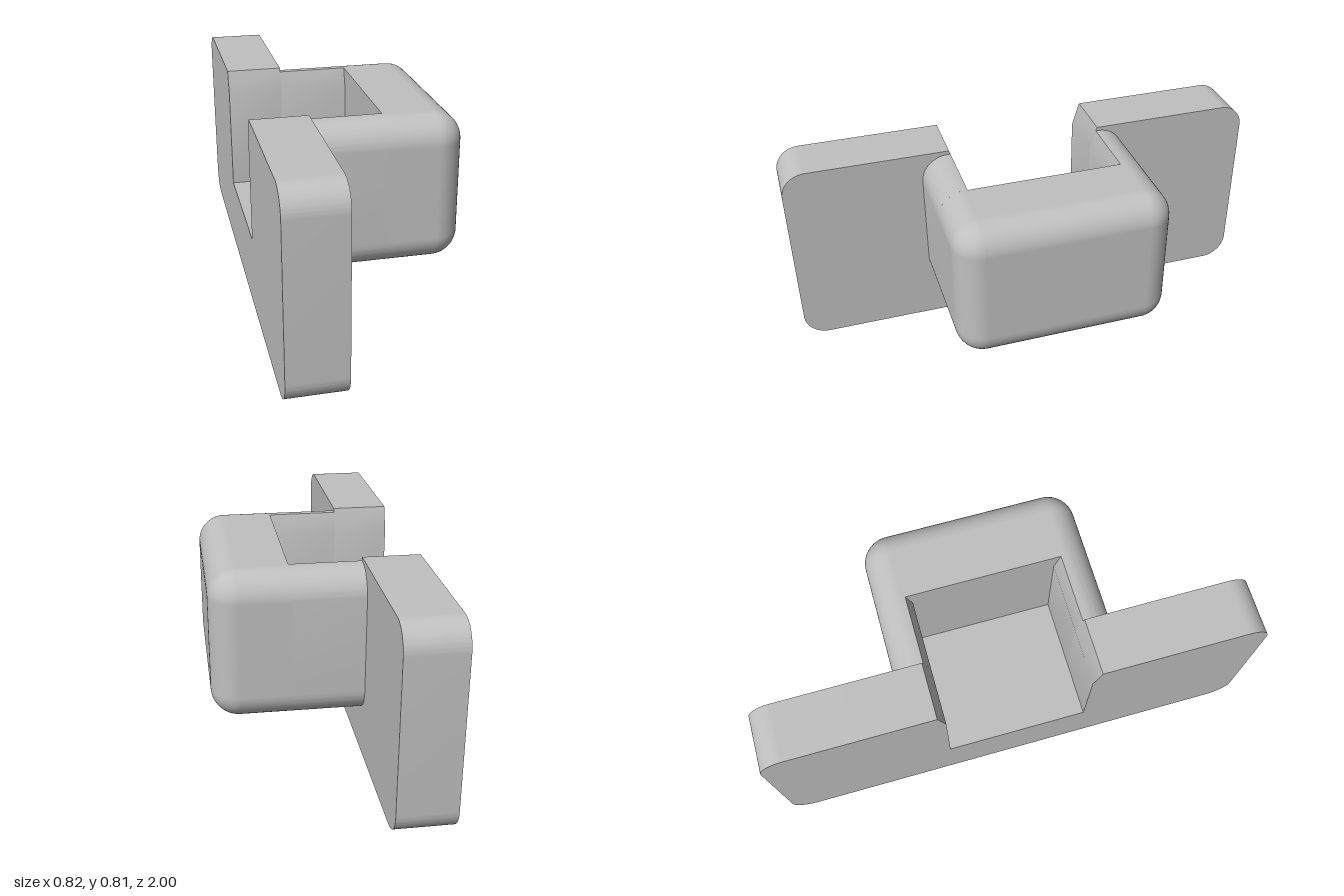
import * as THREE from 'three';
import { toCreasedNormals } from 'three/addons/utils/BufferGeometryUtils.js';

const NOTCH = { floor: 0.3, half: 0.29, flareHalf: 0.32, flareStart: 0.71 };

// Rounded rectangle with a flared notch cut into its top edge
function notchedShape(halfW, bottom, top, r, topHalf) {
  const s = new THREE.Shape();
  s.moveTo(-halfW + r, bottom);
  s.lineTo(halfW - r, bottom);
  s.absarc(halfW - r, bottom + r, r, -Math.PI / 2, 0);
  s.lineTo(halfW, top - r);
  s.absarc(halfW - r, top - r, r, 0, Math.PI / 2);
  s.lineTo(topHalf, top);
  s.lineTo(NOTCH.half, NOTCH.flareStart);
  s.lineTo(NOTCH.half, NOTCH.floor);
  s.lineTo(-NOTCH.half, NOTCH.floor);
  s.lineTo(-NOTCH.half, NOTCH.flareStart);
  s.lineTo(-topHalf, top);
  s.lineTo(-halfW + r, top);
  s.absarc(-halfW + r, top - r, r, Math.PI / 2, Math.PI);
  s.lineTo(-halfW, bottom + r);
  s.absarc(-halfW + r, bottom + r, r, Math.PI, Math.PI * 1.5);
  return s;
}

// Extrude a z-y outline along x
function extrudeX(shape, x0, x1) {
  const g = new THREE.ExtrudeGeometry(shape, { depth: x1 - x0, bevelEnabled: false, curveSegments: 12 });
  g.rotateY(Math.PI / 2);
  g.translate(x0, 0, 0);
  return toCreasedNormals(g, 0.5);
}

// Solid end of the block: rounded-rectangle rings closing in a quarter round
function roundedEnd(x0, x1, halfW, bottom, top, r) {
  const n = 12, pos = [], nor = [], idx = [];
  const corners = [[1, 1], [-1, 1], [-1, -1], [1, -1]];
  const cy = (bottom + top) / 2, hy = (top - bottom) / 2;
  const size = 4 * (n + 1);

  const addRing = (x, rad, a, flat) => {
    corners.forEach(([sz, sy], c) => {
      for (let i = 0; i <= n; i++) {
        const t = (c + i / n) * Math.PI / 2;
        const dz = Math.cos(t), dy = Math.sin(t);
        pos.push(x, cy + sy * (hy - r) + dy * rad, sz * (halfW - r) + dz * rad);
        if (flat) nor.push(flat, 0, 0);
        else nor.push(Math.sin(a), Math.cos(a) * dy, Math.cos(a) * dz);
      }
    });
  };

  addRing(x0, r, 0);
  for (let k = 0; k <= n; k++) {
    const a = k / n * Math.PI / 2;
    addRing(x1 - r + r * Math.sin(a), r * Math.cos(a), a);
  }
  for (let k = 0; k <= n; k++) {
    for (let i = 0; i < size; i++) {
      const j = (i + 1) % size;
      const a = k * size + i, b = k * size + j;
      idx.push(a, a + size, b, b, a + size, b + size);
    }
  }
  // Flat outer face and the inner wall that ends the notch
  const outer = pos.length / 3;
  addRing(x1, 0, 0, 1);
  const inner = pos.length / 3;
  addRing(x0, r, 0, -1);
  for (let i = 1; i < size - 1; i++) {
    idx.push(outer, outer + i + 1, outer + i);
    idx.push(inner, inner + i, inner + i + 1);
  }

  const g = new THREE.BufferGeometry();
  g.setAttribute('position', new THREE.Float32BufferAttribute(pos, 3));
  g.setAttribute('normal', new THREE.Float32BufferAttribute(nor, 3));
  g.setIndex(idx);
  return g;
}

export function createModel() {
  const model = new THREE.Group();
  model.name = 'notchedBracket';
  const grey = new THREE.MeshStandardMaterial({ color: 0xc0c0c0 });
  grey.name = 'grey';

  const add = (name, geometry) => {
    const mesh = new THREE.Mesh(geometry, grey);
    mesh.name = name;
    model.add(mesh);
  };

  // Long upright plate with the notch through it
  add('backPlate', extrudeX(notchedShape(1, 0, 0.807, 0.1, NOTCH.flareHalf), -0.41, -0.183));
  // Block behind the plate: notched part, then solid rounded end
  add('blockPocket', extrudeX(notchedShape(0.437, 0.187, 0.791, 0.11, 0.315), -0.183, 0.1));
  add('blockEnd', roundedEnd(0.1, 0.41, 0.437, 0.187, 0.791, 0.11));
  return model;
}
